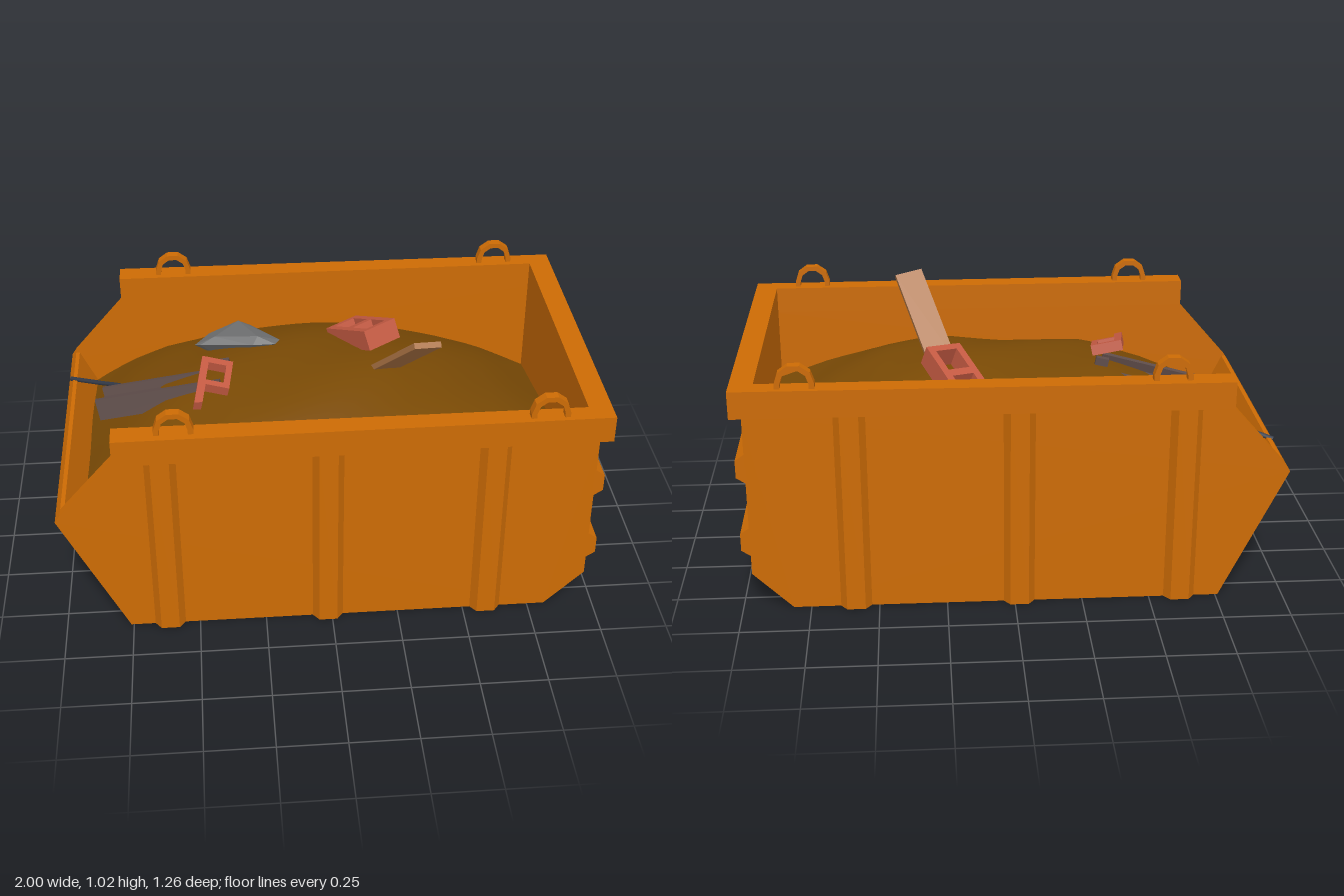
import * as THREE from 'three';
import { ConvexGeometry } from 'three/addons/geometries/ConvexGeometry.js';

const mat = (name, color, side = THREE.FrontSide) => {
  const m = new THREE.MeshStandardMaterial({ color, side });
  m.name = name;
  return m;
};

export function createModel() {
  const root = new THREE.Group();
  root.name = 'skip';
  const orange = mat('orangePaint', 0xcc6b04);
  const earth = mat('earth', 0x7a4a05, THREE.DoubleSide);
  const brickRed = mat('brickRed', 0xc45a42);
  const stone = mat('stoneGrey', 0x727374);
  const wood = mat('wood', 0xac7344);
  const steel = mat('rustySteel', 0x5e4c49);
  const cable = mat('darkCable', 0x333a48);

  const add = (name, geo, material, parent = root) => {
    const m = new THREE.Mesh(geo, material);
    m.name = name;
    parent.add(m);
    return m;
  };
  const shapeOf = (pts) => new THREE.Shape(pts.map(([a, b]) => new THREE.Vector2(a, b)));
  const extrude = (shape, depth) => new THREE.ExtrudeGeometry(shape, { depth, bevelEnabled: false });
  // Outline given as (x, -z), pulled upwards
  const extrudeUp = (shape, depth) => extrude(shape, depth).rotateX(-Math.PI / 2);
  // Places an object with its local x along dir and local y close to up
  const orient = (obj, pos, dir, up) => {
    const x = new THREE.Vector3(...dir).normalize();
    const z = new THREE.Vector3().crossVectors(x, new THREE.Vector3(...up)).normalize();
    const y = new THREE.Vector3().crossVectors(z, x);
    obj.quaternion.setFromRotationMatrix(new THREE.Matrix4().makeBasis(x, y, z));
    obj.position.set(...pos);
  };

  // Floor and end walls
  const shell = [[-1, 0.5], [-0.76, 0], [0.815, 0], [0.96, 0.143], [0.96, 0.77], [0.915, 0.77],
    [0.915, 0.17], [0.8, 0.04], [-0.735, 0.04], [-0.965, 0.53], [-0.98, 0.53]];
  add('floorAndEnds', extrude(shapeOf(shell), 1.08).translate(0, 0, -0.54), orange);

  // Side walls with ribs
  const sideOutline = [[-1, 0.5], [-0.76, 0], [0.815, 0], [0.96, 0.143], [0.96, 0.77],
    [-0.77, 0.77], [-0.98, 0.53]];
  for (const s of [-1, 1]) {
    add('sideWall', extrude(shapeOf(sideOutline), 0.04).translate(0, 0, s * 0.56 - 0.02), orange);
    for (const x of [-0.612, -0.016, 0.585]) {
      const rib = [[-0.057, 0.575], [0.057, 0.575], [0.057, 0.58], [0.034, 0.61], [-0.034, 0.61], [-0.057, 0.58]];
      add('sideRib', extrudeUp(shapeOf(rib.map(([a, b]) => [x + a, -s * b])), 0.77), orange);
    }
  }

  // Horizontal ribs on the high end
  for (const y of [0.217, 0.507]) {
    const rib = [[0.955, y], [0.96, y], [0.993, y + 0.022], [0.993, y + 0.088], [0.96, y + 0.112], [0.955, y + 0.112]];
    add('endRib', extrude(shapeOf(rib), 1.16).translate(0, 0, -0.58), orange);
  }

  // Rim, open towards the low end
  const rim = [[-0.775, 0.628], [-0.775, 0.54], [0.915, 0.54], [0.915, -0.54], [-0.775, -0.54],
    [-0.775, -0.628], [1, -0.614], [1, 0.614]];
  add('rim', extrudeUp(shapeOf(rim), 0.102).translate(0, 0.768, 0), orange);

  // Lifting lugs: five-sided arches
  const arc = (r) => Array.from({ length: 6 }, (_, i) =>
    [r * Math.cos(i * Math.PI / 5), 0.018 + r * Math.sin(i * Math.PI / 5)]);
  const lug = shapeOf([[0.07, -0.01], ...arc(0.07), [-0.07, -0.01], [-0.05, -0.01], ...arc(0.05).reverse(), [0.05, -0.01]]);
  const lugGeo = extrude(lug, 0.035).translate(0, 0, -0.0175);
  for (const x of [-0.556, 0.768])
    for (const z of [-0.58, 0.58]) add('liftingLug', lugGeo, orange).position.set(x, 0.87, z);

  // Heap of earth: a height profile along x that falls off towards the sides
  const ridge = [[-0.95, 0.36], [-0.915, 0.41], [-0.75, 0.55], [-0.6, 0.64], [-0.37, 0.725], [-0.1, 0.745],
    [0.25, 0.75], [0.5, 0.7], [0.7, 0.61], [0.93, 0.46]];
  const height = (x, z) => {
    let i = 1;
    while (i < ridge.length - 1 && x > ridge[i][0]) i++;
    const [x0, y0] = ridge[i - 1], [x1, y1] = ridge[i];
    const h = y0 + (y1 - y0) * (x - x0) / (x1 - x0);
    const fall = 0.12 * Math.min(1, (h - 0.35) / 0.35);
    return h - fall * (z / 0.54) ** 2 + 0.1 * Math.max(x, 0) * z + 0.008 * Math.sin(9 * x + 4 * z) * Math.cos(8 * z);
  };
  const heap = new THREE.PlaneGeometry(1.855, 1.09, 28, 16).rotateX(-Math.PI / 2);
  const p = heap.attributes.position;
  for (let i = 0; i < p.count; i++) {
    p.setX(i, p.getX(i) - 0.0025);
    p.setY(i, height(p.getX(i), p.getZ(i)));
  }
  heap.computeVertexNormals();
  add('earthHeap', heap, earth);

  // Boulder with a broad, nearly flat top
  const boulder = [[-0.31, 0.665, -0.51], [-0.25, 0.665, -0.48], [-0.14, 0.715, -0.27], [-0.16, 0.725, -0.22],
    [-0.25, 0.73, -0.21], [-0.46, 0.71, -0.26], [-0.48, 0.7, -0.28], [-0.42, 0.675, -0.41],
    [-0.4, 0.735, -0.28], [-0.23, 0.75, -0.245], [-0.3, 0.7, -0.46], [-0.3, 0.55, -0.35]];
  add('boulder', new ConvexGeometry(boulder.map((v) => new THREE.Vector3(...v))), stone);

  // Hollow brick with two openings
  const hole = (x, y, w, h) => new THREE.Path([[x, y], [x, y + h], [x + w, y + h], [x + w, y]]
    .map(([a, b]) => new THREE.Vector2(a, b)));
  const whole = shapeOf([[-0.15, -0.073], [0.15, -0.073], [0.15, 0.073], [-0.15, 0.073]]);
  whole.holes.push(hole(-0.122, -0.045, 0.105, 0.09), hole(0.017, -0.045, 0.105, 0.09));
  const brick = add('hollowBrick', extrudeUp(whole, 0.08).translate(0, -0.04, 0), brickRed);
  orient(brick, [0.19, 0.752, -0.235], [0.13, 0.126, 0.25], [-0.3, 1, -0.35]);

  // Broken brick with one opening and a stub
  const broken = shapeOf([[-0.06, 0.075], [-0.06, -0.175], [-0.03, -0.165], [-0.03, -0.07], [0.06, -0.07], [0.06, 0.075]]);
  broken.holes.push(hole(-0.032, -0.045, 0.068, 0.092));
  const half = add('brokenBrick', extrudeUp(broken, 0.04).translate(0, -0.02, 0), brickRed);
  orient(half, [-0.405, 0.765, 0.062], [1, -0.22, 0.1], [0.2, 1, 0.25]);

  // Plank leaning out of the heap
  const plank = add('plank', new THREE.BoxGeometry(0.44, 0.022, 0.108), wood);
  orient(plank, [0.303, 0.86, 0.138], [0.11, 0.24, 0.258], [-0.1, 0.7, -0.7]);

  // Steel beam: web between two flanges
  const beam = new THREE.Group();
  beam.name = 'steelBeam';
  add('beamWeb', new THREE.BoxGeometry(0.5, 0.016, 0.11), steel, beam);
  for (const z of [-0.062, 0.062])
    add('beamFlange', new THREE.BoxGeometry(0.5, 0.085, 0.018), steel, beam).position.z = z;
  orient(beam, [-0.61, 0.632, -0.038], [0.5, 0.115, 0.07], [-0.2, 1, -0.22]);
  root.add(beam);
  const chip = add('steelChip', new THREE.BoxGeometry(0.05, 0.03, 0.025), steel);
  orient(chip, [-0.37, 0.745, -0.06], [1, 0.2, 0.1], [0, 1, 0]);

  // Cable hanging over the low end
  const path = new THREE.CatmullRomCurve3([[-0.68, 0.57, -0.11], [-0.76, 0.585, -0.17],
    [-0.87, 0.55, -0.265], [-0.99, 0.525, -0.345]].map((v) => new THREE.Vector3(...v)));
  add('cable', new THREE.TubeGeometry(path, 10, 0.01, 6), cable);

  return root;
}
